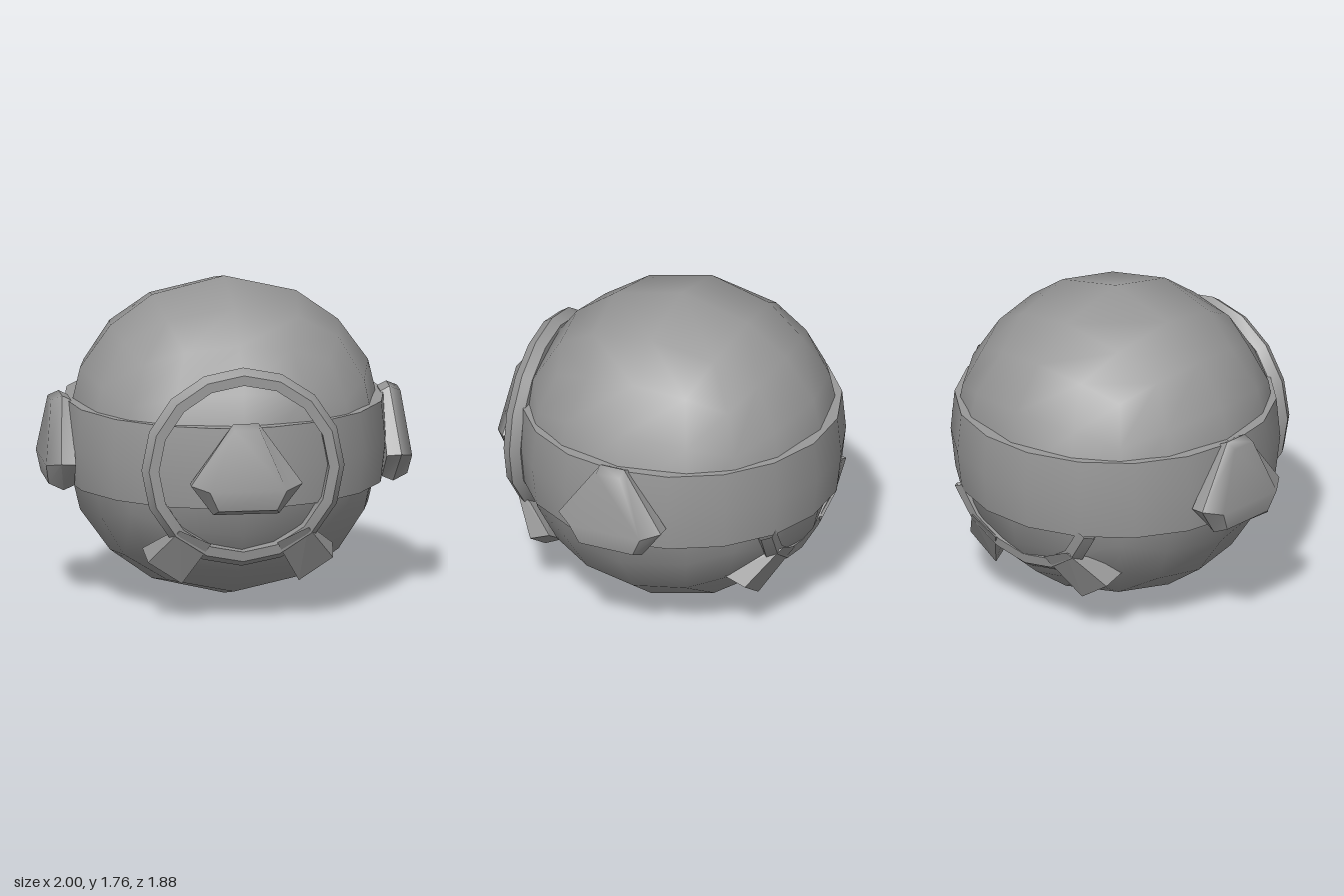
import * as THREE from 'three';
import { mergeGeometries, toCreasedNormals } from 'three/addons/utils/BufferGeometryUtils.js';
import { ConvexGeometry } from 'three/addons/geometries/ConvexGeometry.js';

const CENTER_Y = 0.88, CENTER_Z = -0.06;
const RING_Y = 0.865;

// Rounded cube: a subdivided box pushed out to a sphere
function bodyGeometry(radius) {
  const geo = new THREE.BoxGeometry(2, 2, 2, 4, 4, 4);
  const pos = geo.attributes.position, v = new THREE.Vector3();
  for (let i = 0; i < pos.count; i++) {
    v.fromBufferAttribute(pos, i).normalize();
    geo.attributes.normal.setXYZ(i, v.x, v.y, v.z);
    pos.setXYZ(i, v.x * radius, v.y * radius, v.z * radius);
  }
  return geo;
}

// Shield, from front, widest and rear outlines: [half width, y, depth] for top, middle, bottom
function podGeometry() {
  const outlines = [
    [[0.07, 1.11, 0.955], [0.21, 0.78, 1.0], [0.16, 0.67, 0.98]],
    [[0.07, 1.135, 0.895], [0.305, 0.805, 0.93], [0.18, 0.635, 0.90]],
    [[0.07, 1.11, 0.845], [0.30, 0.80, 0.85], [0.17, 0.66, 0.84]],
  ];
  const points = [], dome = [], shell = [];
  for (const [t, m, b] of outlines) {
    for (const [p, s] of [[m, 1], [t, 1], [t, -1], [m, -1], [b, -1], [b, 1]]) points.push(p[0] * s, p[1], p[2]);
  }
  for (let r = 0; r < 2; r++) {
    for (let i = 0; i < 6; i++) {
      const a = r * 6 + i, b = r * 6 + (i + 1) % 6;
      (r === 0 && i < 3 ? dome : shell).push(a, a + 6, b + 6, a, b + 6, b);
    }
  }
  for (let i = 1; i < 5; i++) {
    dome.push(0, i, i + 1);
    shell.push(12, 13 + i, 12 + i);
  }
  const panel = (index) => {
    const geo = new THREE.BufferGeometry();
    geo.setAttribute('position', new THREE.Float32BufferAttribute(points, 3));
    geo.setIndex(index);
    geo.computeVertexNormals();
    return geo;
  };
  // The face and its upper slopes blend smoothly; the lower bevel and rim stay sharp
  return mergeGeometries([panel(dome).toNonIndexed(), toCreasedNormals(panel(shell), 0.55)]);
}

// Hoop with a flat face and ridged rim; its foot leans towards the body (lean is +1 front, -1 rear)
function hoopGeometry(segments, lean) {
  const profile = [[0.465, -0.05], [0.52, -0.05], [0.555, 0], [0.52, 0.05], [0.465, 0.05], [0.465, -0.05]]
    .map(([r, d]) => new THREE.Vector2(r, d));
  const length = segments * Math.PI / 8;
  const geo = new THREE.LatheGeometry(profile, segments, -length / 2, length);
  geo.rotateX(Math.PI / 2);
  const pos = geo.attributes.position;
  for (let i = 0; i < pos.count; i++) {
    pos.setZ(i, pos.getZ(i) - lean * 0.17 * Math.max(0, -0.27 - pos.getY(i)));
  }
  return toCreasedNormals(geo, 0.6);
}

// Slanted clamp block, mirrored by side and end
function clampGeometry(side, front) {
  const corners = [
    [0.35, 0.535, 0.765], [0.18, 0.455, 0.76], [0.32, 0.207, 0.605], [0.505, 0.33, 0.61],
    [0.41, 0.49, 0.65], [0.22, 0.40, 0.65], [0.34, 0.27, 0.49], [0.52, 0.385, 0.49],
  ];
  return new ConvexGeometry(corners.map(([x, y, z]) =>
    new THREE.Vector3(x * side, y, front ? z : CENTER_Z - z)));
}

export function createModel() {
  const model = new THREE.Group();
  const material = new THREE.MeshStandardMaterial({ color: 0x999999, side: THREE.DoubleSide });
  const add = (name, geo, x = 0, y = 0, z = 0) => {
    const mesh = new THREE.Mesh(geo, material);
    mesh.name = name;
    mesh.position.set(x, y, z);
    model.add(mesh);
    return mesh;
  };

  add('body', bodyGeometry(0.88), 0, CENTER_Y, CENTER_Z);

  // Belt around the middle, slightly bulged
  const belt = [[0.78, -0.225], [0.868, -0.225], [0.894, 0], [0.873, 0.225], [0.78, 0.225]]
    .map(([r, y]) => new THREE.Vector2(r, y));
  const beltGeo = new THREE.LatheGeometry(belt, 18, Math.PI / 18);
  add('belt', toCreasedNormals(beltGeo, 0.6), 0, CENTER_Y, CENTER_Z);

  // Shields on the front and both sides
  const pod = podGeometry();
  for (const [name, turn] of [['frontShield', 0], ['leftShield', 1], ['rightShield', -1]]) {
    add(name, pod, 0, 0, CENTER_Z).rotation.y = turn * Math.PI / 2;
  }

  // Full hoop in front, lower arc at the back
  add('frontHoop', hoopGeometry(16, 1), 0, RING_Y, 0.712);
  add('rearArc', hoopGeometry(6, -1), 0, RING_Y, -0.77);

  // Clamps on the hoops
  for (const [sideName, side] of [['Left', 1], ['Right', -1]]) {
    add('front' + sideName + 'Clamp', clampGeometry(side, true));
    add('rear' + sideName + 'Clamp', clampGeometry(side, false));
  }
  return model;
}
